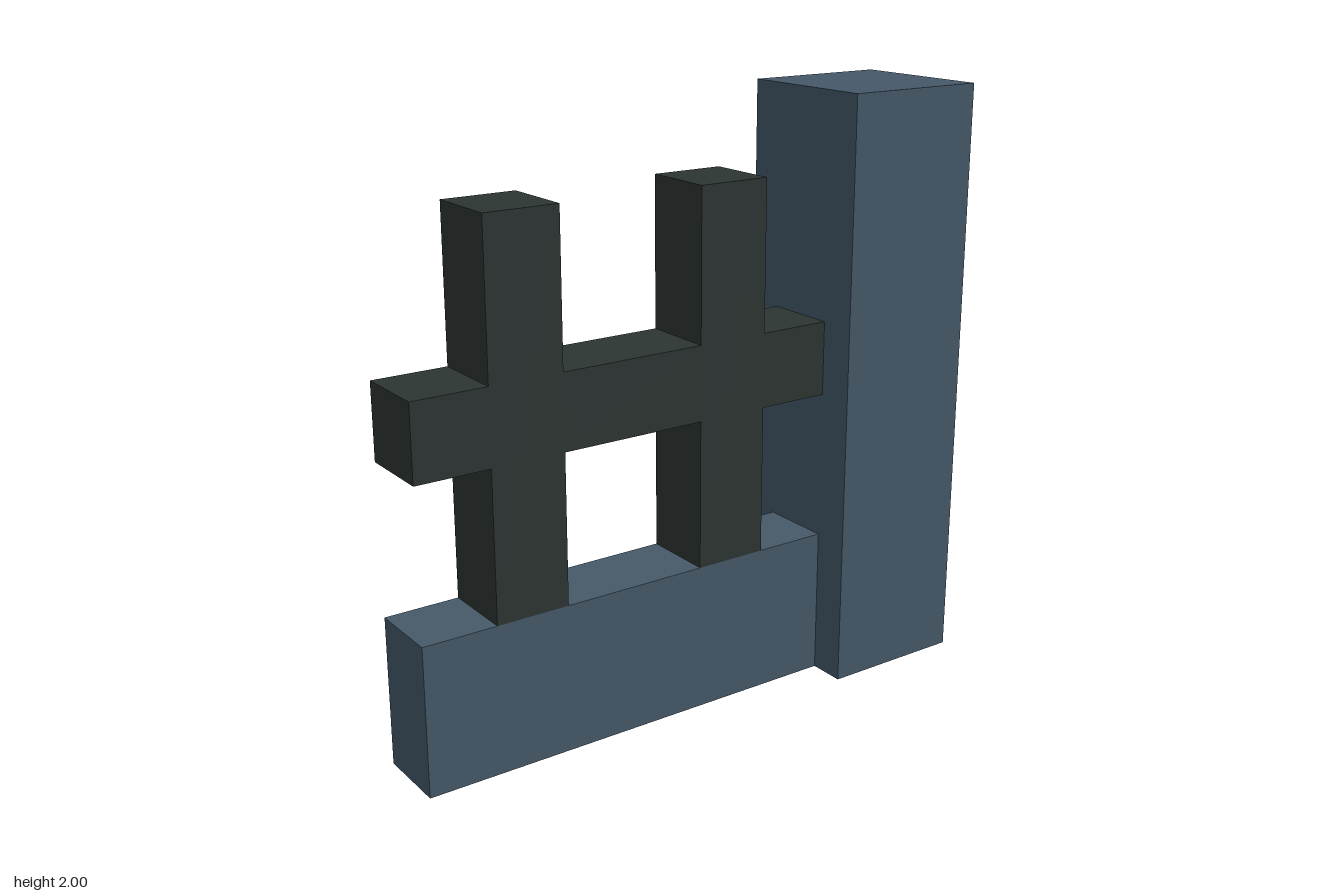
import * as THREE from 'three';

const slate = new THREE.MeshStandardMaterial({ color: 0x465969 });
slate.name = 'slate stone';
const iron = new THREE.MeshStandardMaterial({ color: 0x2d3533 });
iron.name = 'dark iron';

// Box given by its x and y extents and its depth, centred on z = 0
function block(name, material, x0, x1, y0, y1, depth) {
  const mesh = new THREE.Mesh(new THREE.BoxGeometry(x1 - x0, y1 - y0, depth), material);
  mesh.position.set((x0 + x1) / 2, (y0 + y1) / 2, 0);
  mesh.name = name;
  return mesh;
}

export function createModel() {
  const model = new THREE.Group();
  model.name = 'fenceSection';

  // Stone post and low wall
  model.add(block('post', slate, 0.5, 1, 0, 2, 0.5));
  model.add(block('lowWall', slate, -1, 0.5, 0, 0.5, 0.25));

  // Upright bars
  const bars = [-0.75, 0];
  for (const x of bars) model.add(block('uprightBar', iron, x, x + 0.25, 0.5, 1.75, 0.25));

  // Rail pieces between and beside the bars
  for (const [x0, x1] of [[-1, -0.75], [-0.5, 0], [0.25, 0.5]]) {
    model.add(block('rail', iron, x0, x1, 1, 1.25, 0.25));
  }
  return model;
}
